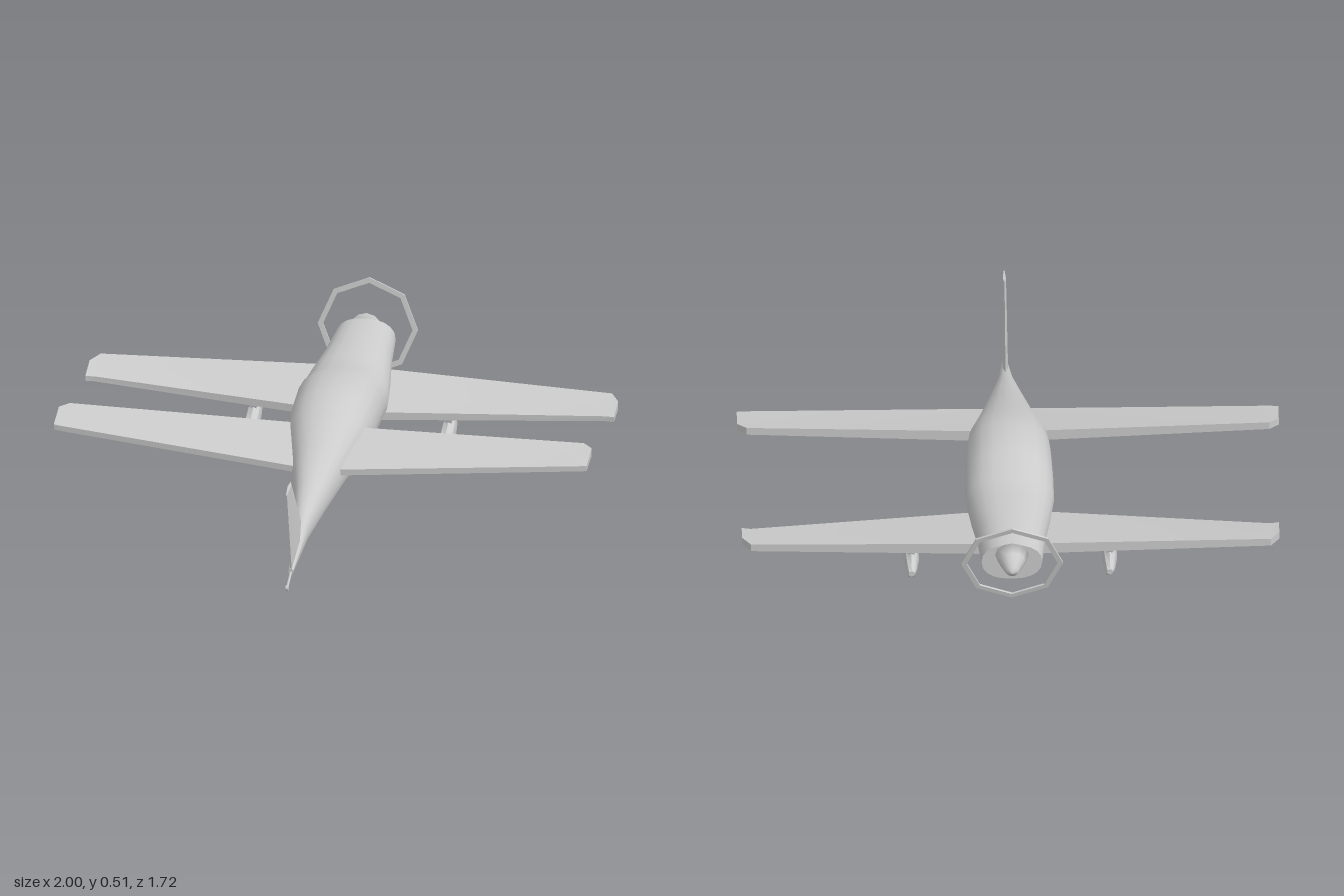
import * as THREE from 'three';
import { toCreasedNormals } from 'three/addons/utils/BufferGeometryUtils.js';

const material = new THREE.MeshStandardMaterial({ color: 0xcccccc, side: THREE.DoubleSide });

// Skin a list of closed rings (arrays of [x, y, z]) and cap both ends.
function loft(rings, crease) {
  const n = rings[0].length;
  const pos = rings.flat(2);
  let idx = [];
  for (let r = 0; r < rings.length - 1; r++) {
    for (let i = 0; i < n; i++) {
      const a = r * n + i, b = r * n + (i + 1) % n;
      idx.push(a, b, a + n, b, b + n, a + n);
    }
  }
  const last = (rings.length - 1) * n;
  for (let i = 1; i < n - 1; i++) {
    idx.push(0, i + 1, i, last, last + i, last + i + 1);
  }
  // turn the faces outward if the enclosed volume is negative
  const v = k => new THREE.Vector3().fromArray(pos, k * 3);
  let volume = 0;
  for (let i = 0; i < idx.length; i += 3) {
    volume += v(idx[i]).dot(v(idx[i + 1]).cross(v(idx[i + 2])));
  }
  if (volume < 0) idx.reverse();
  const geo = new THREE.BufferGeometry();
  geo.setAttribute('position', new THREE.Float32BufferAttribute(pos, 3));
  geo.setIndex(idx);
  return toCreasedNormals(geo, crease);
}

// Rounded cross-section across z; a higher power gives a boxier shape.
function oval(cx, z, top, bottom, halfWidth, sides, power) {
  const ring = [];
  const round = c => Math.sign(c) * Math.abs(c) ** (2 / power);
  for (let i = 0; i < sides; i++) {
    const a = (i / sides) * Math.PI * 2;
    ring.push([
      cx + halfWidth * round(Math.cos(a)),
      (top + bottom) / 2 + (top - bottom) / 2 * round(Math.sin(a)),
      z,
    ]);
  }
  return ring;
}

export function createModel() {
  const model = new THREE.Group();
  const add = (name, geo, parent = model) => {
    const mesh = new THREE.Mesh(geo, material);
    mesh.name = name;
    parent.add(mesh);
    return mesh;
  };

  // Fuselage: [z, top, bottom, half width]
  const stations = [
    [-0.765, 0.372, 0.215, 0.112], [-0.6, 0.372, 0.175, 0.127],
    [-0.45, 0.367, 0.152, 0.15], [-0.34, 0.365, 0.135, 0.163],
    [-0.24, 0.403, 0.128, 0.163], [-0.06, 0.397, 0.117, 0.157],
    [0.03, 0.375, 0.11, 0.147], [0.2, 0.305, 0.1, 0.103],
    [0.38, 0.231, 0.084, 0.064], [0.56, 0.156, 0.064, 0.028],
    [0.77, 0.058, 0.036, 0.009],
  ];
  add('fuselage', loft(stations.map(([z, t, b, w]) => oval(0, z, t, b, w, 20, 2.3)), 0.8));

  // Spinner and the ring of the propeller, leaning slightly with the thrust line
  const propeller = new THREE.Group();
  propeller.name = 'propeller';
  propeller.position.set(0, 0.32, -0.805);
  propeller.rotation.x = -0.18;
  model.add(propeller);
  const profile = [[0, -0.04], [0.062, -0.04], [0.048, -0.005], [0.024, 0.045], [0, 0.056]];
  const spinnerGeo = new THREE.LatheGeometry(profile.map(p => new THREE.Vector2(...p)), 12);
  add('spinner', spinnerGeo.rotateX(-Math.PI / 2), propeller);
  const octagon = r => Array.from({ length: 8 }, (_, i) =>
    new THREE.Vector2(r * Math.sin(i * Math.PI / 4), r * Math.cos(i * Math.PI / 4)));
  const ringShape = new THREE.Shape(octagon(0.188));
  ringShape.holes.push(new THREE.Path(octagon(0.168)));
  const ringGeo = new THREE.ExtrudeGeometry(ringShape, { depth: 0.008, bevelEnabled: false });
  add('propellerRing', ringGeo.translate(0, 0, -0.004), propeller);

  // Wing sections: [x, leading z, trailing z, leading bottom, top, trailing bottom, top]
  const frontWing = [
    [0.05, -0.602, -0.328, 0.205, 0.252, 0.164, 0.196],
    [0.96, -0.57, -0.435, 0.206, 0.237, 0.186, 0.206],
    [0.992, -0.52, -0.43, 0.2, 0.23, 0.187, 0.207],
  ];
  const rearWing = [
    [0.04, 0.018, 0.25, 0.252, 0.298, 0.202, 0.226],
    [0.965, 0.035, 0.175, 0.283, 0.314, 0.263, 0.284],
    [1.0, 0.065, 0.17, 0.28, 0.31, 0.265, 0.286],
  ];
  const wing = (sections, side) => loft(sections.map(([x, zl, zt, lb, lt, tb, tt]) => [
    [x * side, lb, zl], [x * side, lt, zl], [x * side, tt, zt], [x * side, tb, zt],
  ]), 0.3);

  // Wheel fairing: [z, top, bottom, half width]
  const pod = [
    [-0.56, 0.096, 0.072, 0.012], [-0.535, 0.11, 0.058, 0.02], [-0.47, 0.126, 0.03, 0.028],
    [-0.37, 0.088, 0.022, 0.028], [-0.275, 0.043, 0.037, 0.026],
  ];

  for (const [side, label] of [[1, 'left'], [-1, 'right']]) {
    add(label + 'FrontWing', wing(frontWing, side));
    add(label + 'RearWing', wing(rearWing, side));

    // Landing gear
    const gear = new THREE.Group();
    gear.name = label + 'LandingGear';
    gear.position.x = 0.366 * side;
    model.add(gear);
    add('wheelFairing', loft(pod.map(([z, t, b, w]) => oval(0, z, t, b, w, 8, 2.2)), 0.8), gear);
    const strutRing = (y, w, z0, z1) => [[-w, y, z0], [w, y, z0], [w, y, z1], [-w, y, z1]];
    add('strut', loft([
      strutRing(0.21, 0.02, -0.51, -0.44),
      strutRing(0.175, 0.018, -0.5, -0.445),
      strutRing(0.11, 0.01, -0.485, -0.46),
    ], 0.3), gear);
    const wheelGeo = new THREE.CylinderGeometry(0.03, 0.03, 0.026, 12).rotateZ(Math.PI / 2);
    add('wheel', wheelGeo.translate(0, 0.03, -0.456), gear);
  }

  // Tail fin, thinning toward the trailing edge and the tip
  add('tailFin', loft([
    [[0, 0.15, 0.555], [0.011, 0.1, 0.63], [0.003, 0.045, 0.765], [-0.003, 0.045, 0.765], [-0.011, 0.1, 0.63]],
    [[0, 0.414, 0.77], [0.006, 0.409, 0.8], [0.002, 0.4, 0.86], [-0.002, 0.4, 0.86], [-0.006, 0.409, 0.8]],
  ], 0.5));

  // Tail wheel on its thin spring
  const spring = new THREE.LineCurve3(new THREE.Vector3(0, 0.05, 0.75), new THREE.Vector3(0, 0.016, 0.845));
  add('tailSpring', new THREE.TubeGeometry(spring, 1, 0.005, 6));
  const tailWheel = add('tailWheel', new THREE.CylinderGeometry(0.01, 0.01, 0.01, 10).rotateZ(Math.PI / 2));
  tailWheel.position.set(0, 0.015, 0.846);

  return model;
}
